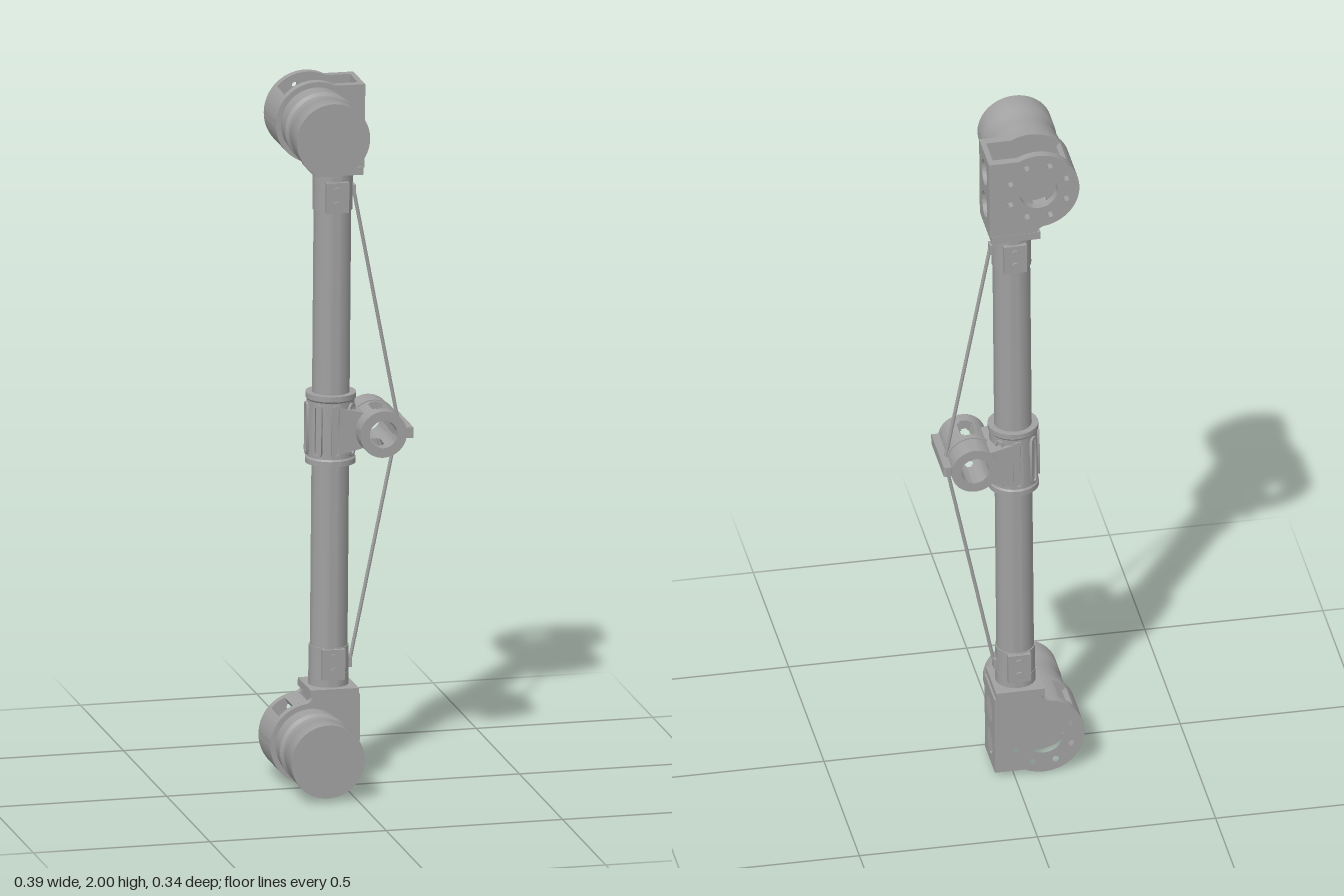
import * as THREE from 'three';
import { toCreasedNormals } from 'three/addons/utils/BufferGeometryUtils.js';

const grey = new THREE.MeshStandardMaterial({ color: 0xa0a0a0 });
grey.name = 'machined grey';

const TX = -0.012, TZ = -0.096; // tube axis
const AX = -0.076, AY = 0.885; // motor axis (heights measured from the middle)
const V = (x, y) => new THREE.Vector2(x, y);

function add(parent, name, geo, x = 0, y = 0, z = 0) {
  const mesh = new THREE.Mesh(toCreasedNormals(geo, 0.6), grey);
  mesh.name = name;
  mesh.position.set(x, y, z);
  parent.add(mesh);
  return mesh;
}
const box = (w, h, d) => new THREE.BoxGeometry(w, h, d);
const cyl = (r, h, n = 40) => new THREE.CylinderGeometry(r, r, h, n);
const extrude = (shape, depth) => new THREE.ExtrudeGeometry(shape, { depth, bevelEnabled: false, curveSegments: 24 });
const lathe = pts => new THREE.LatheGeometry(pts.map(p => V(...p)), 48);

function circleHole(shape, x, y, r) {
  shape.holes.push(new THREE.Path().absarc(x, y, r, 0, Math.PI * 2, true));
}

// ring segment between two angles in degrees
function sector(ri, ro, a0, a1) {
  const k = Math.PI / 180, s = new THREE.Shape();
  s.absarc(0, 0, ro, a0 * k, a1 * k, a1 < a0);
  s.absarc(0, 0, ri, a1 * k, a0 * k, a1 > a0);
  return s;
}

function tubeRing(ri, ro) {
  const s = new THREE.Shape().absarc(0, 0, ro, 0, Math.PI * 2, false);
  circleHole(s, 0, 0, ri);
  return s;
}

function stadium(w, h, PathType) {
  const r = w / 2, c = h / 2 - r, s = new PathType();
  s.absarc(0, c, r, 0, Math.PI, false);
  s.absarc(0, -c, r, Math.PI, Math.PI * 2, false);
  s.closePath();
  return s;
}

// side outline of a head: round on one side, square on the other
function headOutline(s) {
  const k = Math.PI / 180, shape = new THREE.Shape();
  shape.moveTo(0.138, -0.135 * s);
  shape.lineTo(0.138, 0.102 * s);
  shape.lineTo(0.053, 0.102 * s);
  shape.absarc(0, 0, 0.115, 62 * s * k, 258 * s * k, s < 0);
  shape.quadraticCurveTo(0.004, -0.115 * s, 0.004, -0.135 * s);
  shape.closePath();
  return shape;
}

// motor, open housing, neck and clamp; s = 1 above, -1 below
function createHead(s) {
  const head = new THREE.Group();
  head.name = s > 0 ? 'upperHead' : 'lowerHead';
  const y = AY * s;

  add(head, 'motor', lathe([[0, -0.035], [0.1, -0.035], [0.104, 0.036], [0.096, 0.046], [0.096, 0.09],
    [0.104, 0.102], [0.104, 0.17], [0, 0.17]]).rotateX(Math.PI / 2), AX, y);

  add(head, 'frontPlate', extrude(headOutline(s), 0.026), AX, y, -0.055);
  const back = headOutline(s);
  circleHole(back, 0, 0, 0.054);
  for (let i = 0; i < 8; i++) {
    const a = (i + 0.5) * Math.PI / 4;
    circleHole(back, 0.085 * Math.cos(a), 0.085 * Math.sin(a), 0.009);
  }
  add(head, 'backPlate', extrude(back, 0.024), AX, y, -0.169);

  // curved wall with an opening near the neck
  for (const [a0, a1] of [[137, 222], [246, 268]])
    add(head, 'curvedWall', extrude(sector(0.1, 0.115, a0 * s, a1 * s), 0.092), AX, y, -0.146);

  // flat wall with two round holes
  const wall = new THREE.Shape([V(-0.046, -0.135 * s), V(0.046, -0.135 * s), V(0.046, 0.102 * s), V(-0.046, 0.102 * s)]);
  for (const h of [0.038, -0.065]) circleHole(wall, 0, h * s, 0.037);
  add(head, 'sideWall', extrude(wall, 0.015).rotateY(Math.PI / 2), AX + 0.123, y, -0.1);

  add(head, 'housingFloor', box(0.134, 0.025, 0.092), AX + 0.071, y - 0.1225 * s, -0.1);
  add(head, 'neckFlange', box(0.137, 0.022, 0.148), TX, 0.742 * s, TZ);
  add(head, 'neck', cyl(0.056, 0.05), TX, 0.72 * s, TZ);

  // clamp collar with pads and bolts
  add(head, 'collar', cyl(0.055, 0.09), TX, 0.665 * s, TZ);
  for (const d of [1, -1]) {
    add(head, 'clampPad', box(0.064, 0.086, 0.025), TX, 0.665 * s, TZ + 0.051 * d);
    for (const h of [0.645, 0.685])
      add(head, 'clampBolt', cyl(0.011, 0.008, 16).rotateX(Math.PI / 2), TX, h * s, TZ + 0.065 * d);
  }
  add(head, 'cableAnchor', box(0.02, 0.03, 0.026), TX + 0.053, 0.672 * s, TZ);
  return head;
}

// sleeve around the tube with a cross ring on its side
function createBracket() {
  const g = new THREE.Group();
  g.name = 'centreBracket';
  add(g, 'sleeve', lathe([[0.05, -0.1], [0.07, -0.1], [0.07, -0.085], [0.066, -0.08], [0.066, 0.08],
    [0.07, 0.085], [0.07, 0.1], [0.05, 0.1]]), TX, 0, TZ);

  // raised oval rims around the sleeve
  for (let i = 1; i < 8; i++) {
    const rim = stadium(0.028, 0.15, THREE.Shape);
    rim.holes.push(stadium(0.014, 0.136, THREE.Path));
    add(g, 'ovalRim', extrude(rim, 0.01), TX, 0, TZ)
      .geometry.translate(0, 0, 0.062).rotateY(Math.PI / 2 + i * Math.PI / 4);
  }

  const arm = new THREE.Shape([V(0, -0.066), V(0.066, -0.05), V(0.066, 0.05), V(0, 0.066)]);
  add(g, 'arm', extrude(arm, 0.135), 0, 0, -0.165);

  // cross ring, slotted above and below
  const rx = 0.109, ri = 0.039, ro = 0.066;
  for (const [z0, z1] of [[-0.17, -0.083], [-0.008, 0.025]])
    add(g, 'crossRing', extrude(tubeRing(ri, ro), z1 - z0), rx, 0, z0);
  for (const [z0, z1, a] of [[-0.083, -0.075, 12], [-0.075, -0.016, 19], [-0.016, -0.008, 12]])
    for (const c of [0, 180])
      add(g, 'slottedRing', extrude(sector(ri, ro, c - 90 + a, c + 90 - a), z1 - z0), rx, 0, z0);
  add(g, 'ringRidge', extrude(tubeRing(0.06, 0.069), 0.014), rx, 0, -0.107);

  // cable guide on the outside of the ring
  const guide = new THREE.Shape([V(0.17, -0.02), V(0.195, -0.02), V(0.195, 0.155), V(0.19, 0.16), V(0.17, 0.16)]);
  add(g, 'cableGuide', extrude(guide, 0.03).rotateX(-Math.PI / 2), 0, -0.015, 0);
  return g;
}

export function createModel() {
  const model = new THREE.Group();
  model.name = 'armLink';
  const body = new THREE.Group();
  body.name = 'body';
  body.position.y = 1;
  body.rotation.z = -0.0085; // slight lean
  model.add(body);

  add(body, 'mainTube', cyl(0.052, 1.42), TX, 0, TZ);
  body.add(createHead(1), createHead(-1), createBracket());

  // tension cables over the guide
  for (const s of [1, -1]) {
    const path = new THREE.LineCurve3(new THREE.Vector3(0.046, 0.68 * s, TZ), new THREE.Vector3(0.18, 0, TZ));
    add(body, 'tensionCable', new THREE.TubeGeometry(path, 1, 0.005, 10));
  }
  return model;
}
